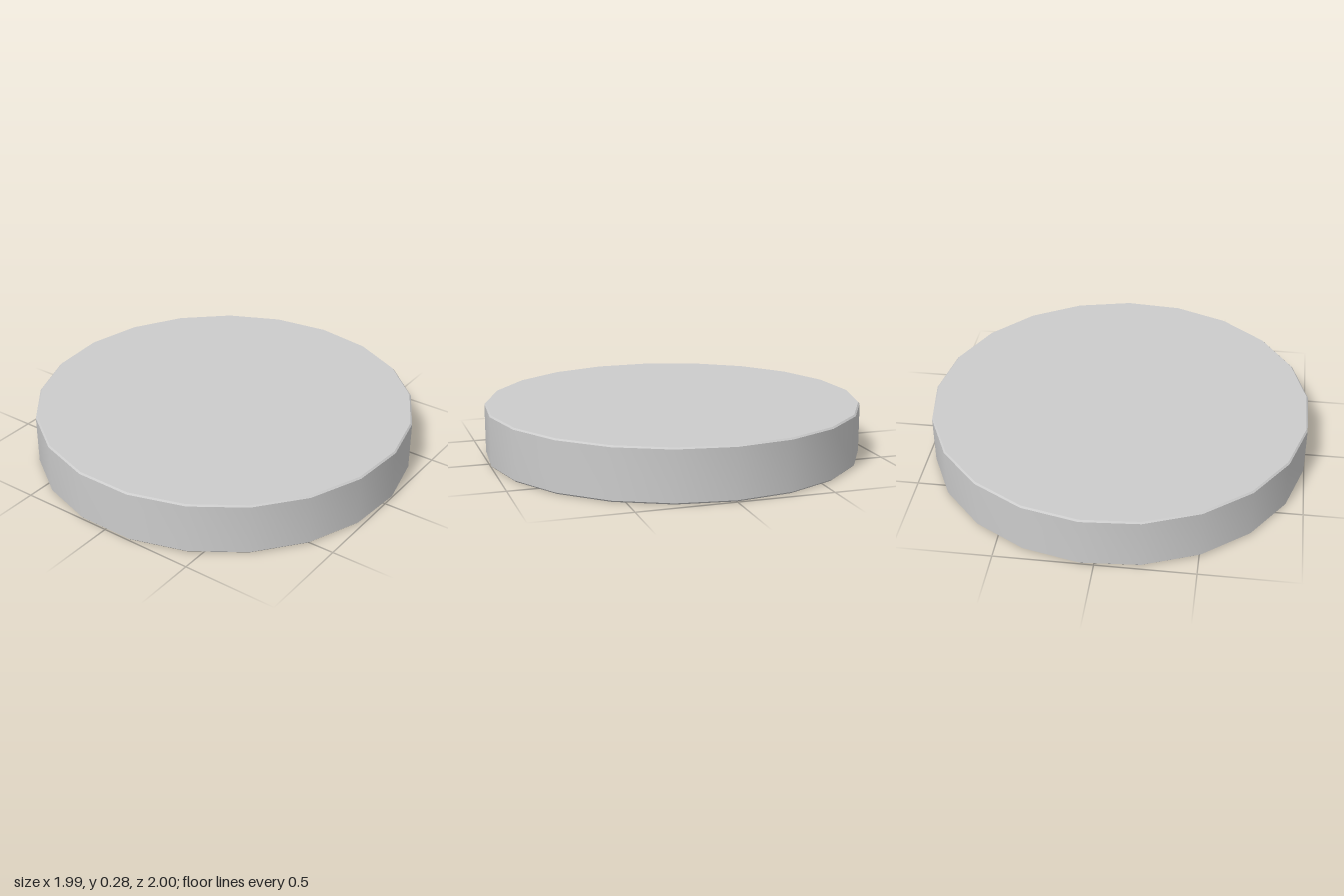
import * as THREE from 'three';
import { toCreasedNormals } from 'three/addons/utils/BufferGeometryUtils.js';

export function createModel() {
  const group = new THREE.Group();
  group.name = 'disc';

  const sides = 21;
  const radius = 1.003, height = 0.275, bevel = 0.008;
  const recessRadius = 0.82, recessDepth = 0.07;

  // Half section, from the recess centre underneath, around the rim, to the top centre
  const profile = [
    [0, recessDepth],
    [recessRadius, recessDepth],
    [recessRadius, 0],
    [radius - bevel, 0],
    [radius, bevel],
    [radius, height - bevel],
    [radius - bevel, height],
    [0, height],
  ].map(([x, y]) => new THREE.Vector2(x, y));

  // Starting at a quarter turn puts one corner on +x
  const lathe = new THREE.LatheGeometry(profile, sides, Math.PI / 2);
  const body = new THREE.Mesh(
    toCreasedNormals(lathe, 0.6),
    new THREE.MeshStandardMaterial({ color: 0xcccccc })
  );
  body.name = 'recessedDisc';

  // An odd number of sides is lopsided in x, so recentre it
  body.position.x = -radius * (1 - Math.cos(Math.PI / sides)) / 2;
  group.add(body);
  return group;
}
